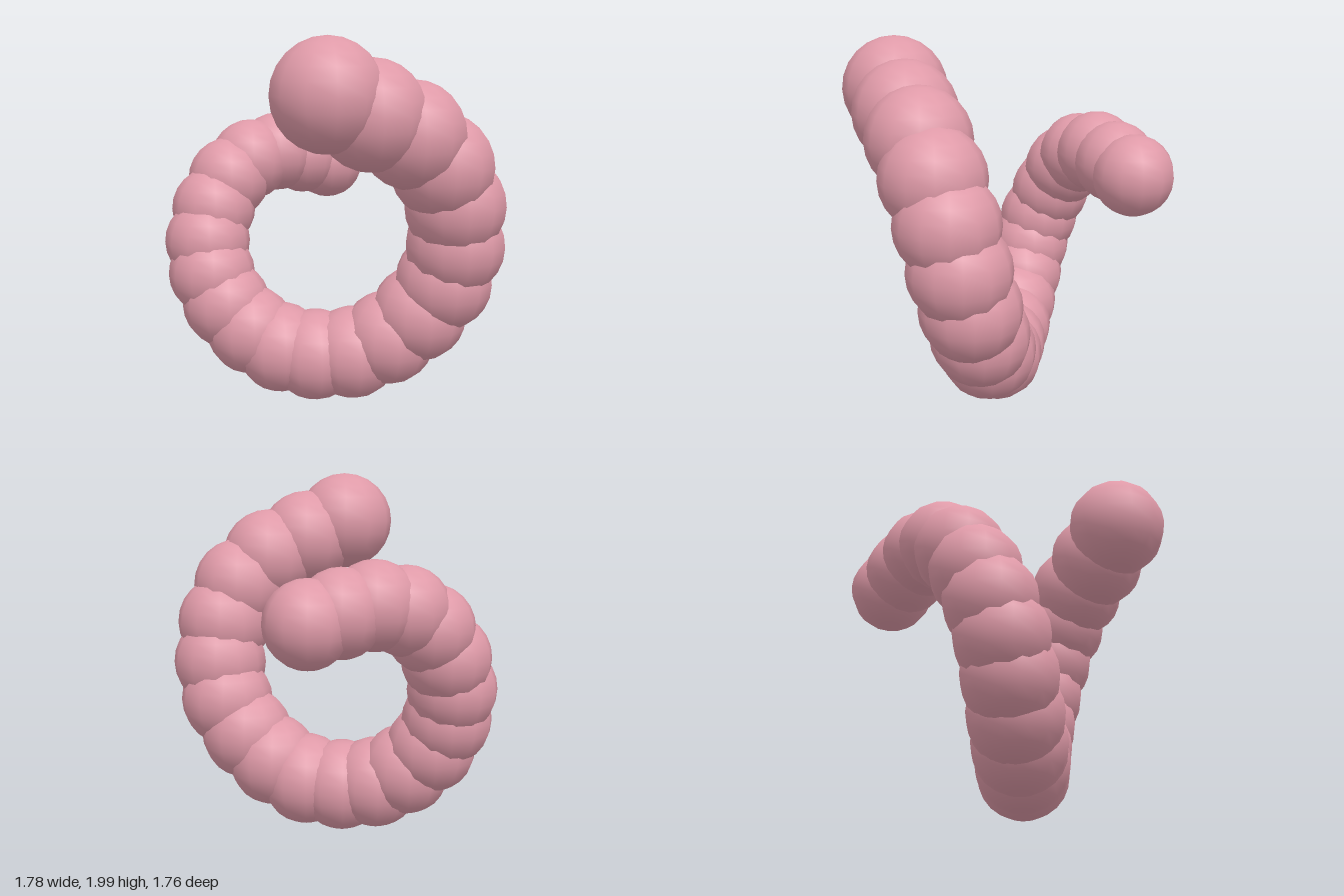
import * as THREE from 'three';

// Centres of the body segments, from the raised head round the coil to the tail
const SPINE = [
  [-0.11, 1.72, 0.6], [0.115, 1.62, 0.55], [0.335, 1.515, 0.49], [0.505, 1.35, 0.43],
  [0.597, 1.14, 0.37], [0.62, 0.915, 0.315], [0.577, 0.705, 0.26], [0.46, 0.52, 0.205],
  [0.305, 0.375, 0.15], [0.118, 0.28, 0.09], [-0.083, 0.26, 0.035], [-0.268, 0.293, -0.025],
  [-0.43, 0.385, -0.085], [-0.56, 0.525, -0.145], [-0.635, 0.69, -0.2], [-0.652, 0.865, -0.26],
  [-0.61, 1.04, -0.325], [-0.515, 1.2, -0.39], [-0.385, 1.3, -0.455], [-0.225, 1.335, -0.525],
  [-0.06, 1.305, -0.595], [0.1, 1.26, -0.66],
];
const HEAD_RADIUS = 0.28;
const TAIL_RADIUS = 0.222;

export function createModel() {
  const model = new THREE.Group();
  model.name = 'coiledWorm';

  const pink = new THREE.MeshStandardMaterial({ color: 0xdf9aa8 });
  pink.name = 'dusty pink';

  // One shared ball, scaled down evenly towards the tail
  const ball = new THREE.SphereGeometry(1, 12, 12);
  const last = SPINE.length - 1;
  SPINE.forEach((centre, i) => {
    const segment = new THREE.Mesh(ball, pink);
    segment.name = i === 0 ? 'head' : i === last ? 'tail' : `bodySegment${i}`;
    segment.position.set(...centre);
    segment.scale.setScalar(THREE.MathUtils.lerp(HEAD_RADIUS, TAIL_RADIUS, i / last));
    model.add(segment);
  });

  return model;
}
